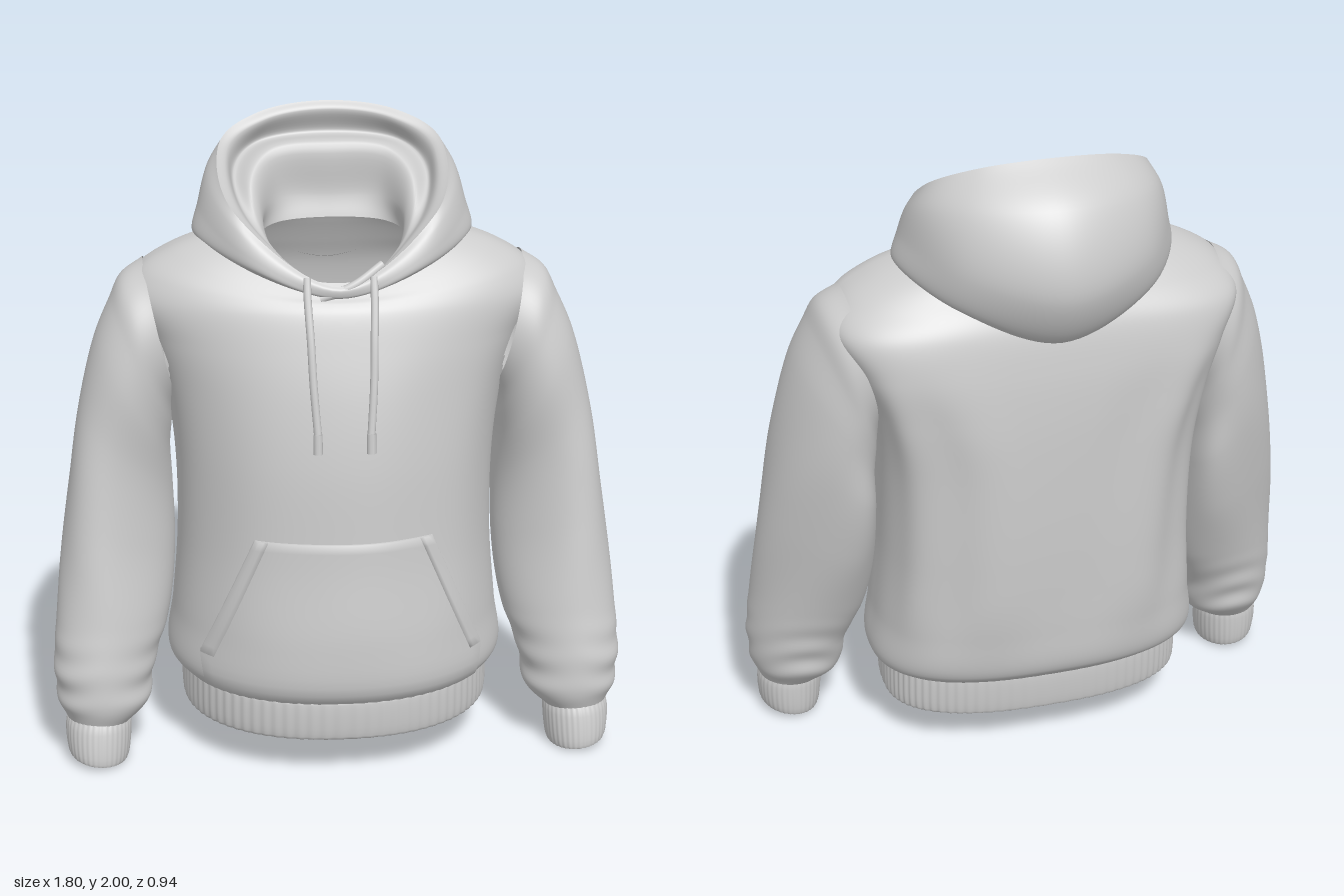
import * as THREE from 'three';

const mat = new THREE.MeshStandardMaterial({ color: 0xcccccc, side: THREE.DoubleSide, roughness: 0.9 });
const V = (x, y, z) => new THREE.Vector3(x, y, z);
const smooth = THREE.MathUtils.smoothstep;

function makeMesh(name, geometry) {
  const mesh = new THREE.Mesh(geometry, mat);
  mesh.name = name;
  return mesh;
}

// Indexed surface over rows of points; "closed" joins the last column to the first
function surface(rows, closed, flip) {
  const n = rows[0].length, index = [];
  for (let i = 0; i < rows.length - 1; i++) {
    for (let j = 0; j < (closed ? n : n - 1); j++) {
      const k = (j + 1) % n;
      const a = i * n + j, b = i * n + k, c = (i + 1) * n + j, d = (i + 1) * n + k;
      if (flip) index.push(a, c, b, b, c, d);
      else index.push(a, b, c, b, d, c);
    }
  }
  const geo = new THREE.BufferGeometry().setFromPoints(rows.flat());
  geo.setIndex(index);
  geo.computeVertexNormals();
  return geo;
}

// Smooth loft through key rings; swell(angle, y) scales each point about its ring centre
function loft(keys, steps, flip, swell) {
  const n = keys[0].length;
  const columns = keys[0].map((_, j) => new THREE.CatmullRomCurve3(keys.map(r => r[j])));
  const rows = [];
  for (let i = 0; i <= steps; i++) {
    const row = columns.map(c => c.getPoint(i / steps));
    if (swell) {
      const mid = row.reduce((s, p) => s.add(p), V(0, 0, 0)).divideScalar(n);
      row.forEach((p, j) => {
        const scale = 1 + swell(j / n * Math.PI * 2, p.y);
        p.sub(mid).multiplyScalar(scale).add(mid);
      });
    }
    rows.push(row);
  }
  return surface(rows, true, flip);
}

// Torso ring: rounded oval with its own depth and squareness front and back; the neck dips at the front
function torsoRing([y, hw, zf, zb, ef, eb], n) {
  const dip = 0.12 * smooth(y, 1.45, 1.66);
  return Array.from({ length: n }, (_, j) => {
    const a = j / n * Math.PI * 2, c = Math.cos(a), s = Math.sin(a);
    const k = 2 / (s > 0 ? ef : eb);
    return V(hw * Math.sign(c) * Math.abs(c) ** k,
      y - dip * Math.max(s, 0) ** 2,
      (s > 0 ? zf : -zb) * Math.sign(s) * Math.abs(s) ** k);
  });
}

// Cut the two oval armholes out of the torso
function cutArmholes(geo) {
  const pos = geo.attributes.position, old = geo.index.array, index = [];
  const inHole = i => Math.abs(pos.getX(i)) > 0.42 &&
    Math.hypot((pos.getZ(i) + 0.015) / 0.16, (pos.getY(i) - 1.31) / 0.17) < 1;
  for (let i = 0; i < old.length; i += 3) {
    const tri = [old[i], old[i + 1], old[i + 2]];
    if (!tri.every(inHole)) index.push(...tri);
  }
  geo.setIndex(index);
  return geo;
}

// Sleeve ring from its outer point, inner point, front z, back z and forward shift of the outer side
function sleeveRing([xo, yo, xi, yi, zf, zb, shift = 0], n, side) {
  return Array.from({ length: n }, (_, j) => {
    const a = j / n * Math.PI * 2, c = Math.cos(a), s = Math.sin(a);
    return V(side * ((xo + xi) / 2 + c * (xo - xi) / 2),
      (yo + yi) / 2 + c * (yo - yi) / 2,
      (zf + zb) / 2 + s * (zf - zb) / 2 + c * shift);
  });
}

// Hood ring from five points (front to back), mirrored to the other side
function hoodRing(half, n) {
  const pts = half.map(p => V(...p));
  for (let i = 3; i > 0; i--) pts.push(V(-half[i][0], half[i][1], half[i][2]));
  const curve = new THREE.CatmullRomCurve3(pts, true, 'catmullrom', 0.5);
  return Array.from({ length: n }, (_, j) => curve.getPoint(j / n));
}

function tube(name, pts, radius) {
  return makeMesh(name, new THREE.TubeGeometry(new THREE.CatmullRomCurve3(pts), 40, radius, 10));
}

export function createModel() {
  const model = new THREE.Group();
  model.name = 'hoodie';

  // Torso with soft vertical folds, broad across the back
  const torsoKeys = [
    [0.25, 0.485, 0.42, -0.27, 2.2, 2.5], [0.3, 0.53, 0.452, -0.32, 2.1, 2.6], [0.45, 0.515, 0.455, -0.342, 2.1, 2.8],
    [0.7, 0.495, 0.425, -0.352, 2.1, 3], [1.0, 0.5, 0.4, -0.35, 2.1, 3.4], [1.2, 0.53, 0.365, -0.342, 2.1, 4.2],
    [1.35, 0.58, 0.325, -0.328, 2.1, 4.6], [1.47, 0.64, 0.285, -0.305, 2, 3.6], [1.55, 0.6, 0.265, -0.27, 2, 2.6],
    [1.61, 0.51, 0.25, -0.24, 2, 2.3], [1.645, 0.42, 0.23, -0.22, 2, 2.1], [1.665, 0.33, 0.21, -0.2, 2, 2],
  ];
  const folds = (a, y) => {
    const mask = smooth(y, 0.3, 0.6) * (1 - smooth(y, 1.1, 1.45));
    const back = Math.sin(a) < 0 ? 1 : 0.25;
    return mask * back * 0.022 * Math.sin(a * 9 + y * 1.5) * Math.abs(Math.sin(a));
  };
  const torso = makeMesh('torso', cutArmholes(loft(torsoKeys.map(k => torsoRing(k, 160)), 100, true, folds)));
  model.add(torso);

  // Ribbed hem band, folded to a narrow inner edge
  const hemKeys = [
    [0.16, 0.47, 0.405, -0.255, 2.2, 2.5], [0.13, 0.478, 0.413, -0.263, 2.2, 2.5],
    [0.14, 0.485, 0.42, -0.268, 2.2, 2.5], [0.25, 0.488, 0.425, -0.275, 2.2, 2.5], [0.27, 0.488, 0.418, -0.27, 2.2, 2.5],
  ];
  model.add(makeMesh('hemBand', loft(hemKeys.map(k => torsoRing(k, 400)), 24, true, a => 0.004 * Math.sin(a * 80))));

  // Depth of the torso front at (x, y)
  const ray = new THREE.Raycaster();
  const frontZ = (x, y) => {
    ray.set(V(x, y, 2), V(0, 0, -1));
    return ray.intersectObject(torso)[0].point.z;
  };

  // Panel laid over the torso front between two x limits, edges turned in
  function panel(name, y0, y1, left, right, lift, nx, ny) {
    const rows = [];
    for (let i = -1; i <= ny + 1; i++) {
      const y = THREE.MathUtils.lerp(y0, y1, THREE.MathUtils.clamp(i / ny, 0, 1));
      const row = [];
      for (let j = -1; j <= nx + 1; j++) {
        const x = THREE.MathUtils.lerp(left(y), right(y), THREE.MathUtils.clamp(j / nx, 0, 1));
        const edge = i < 0 || j < 0 || i > ny || j > nx;
        row.push(V(x, y, frontZ(x, y) + (edge ? 0.001 : lift)));
      }
      rows.push(row);
    }
    model.add(makeMesh(name, surface(rows, false, false)));
  }
  const pocketHalf = y => (y < 0.38 ? 0.425 + (y - 0.27) * 0.15 : 0.442 - (y - 0.38) * 0.42);
  panel('pocket', 0.27, 0.785, y => -pocketHalf(y), pocketHalf, 0.012, 30, 18);
  panel('pocketLeftWelt', 0.385, 0.785, y => pocketHalf(y) - 0.04, pocketHalf, 0.016, 3, 14);
  panel('pocketRightWelt', 0.385, 0.785, y => -pocketHalf(y), y => 0.04 - pocketHalf(y), 0.016, 3, 14);

  // Sleeves, bunched above ribbed cuffs
  const sleeveKeys = [
    [0.585, 1.57, 0.49, 1.14, 0.175, -0.23], [0.655, 1.523, 0.5, 1.1, 0.185, -0.225, 0.01],
    [0.69, 1.455, 0.505, 1.04, 0.19, -0.217, 0.02], [0.74, 1.34, 0.51, 0.97, 0.195, -0.207, 0.03],
    [0.8, 1.1, 0.505, 0.85, 0.19, -0.185, 0.05], [0.848, 0.8, 0.505, 0.66, 0.215, -0.13, 0.05],
    [0.88, 0.5, 0.53, 0.45, 0.265, -0.052, 0.035], [0.895, 0.32, 0.58, 0.3, 0.298, 0, 0.02],
    [0.885, 0.2, 0.605, 0.18, 0.303, 0.03, 0.01], [0.86, 0.14, 0.66, 0.13, 0.285, 0.075],
  ];
  const cuffKeys = [
    [0.85, 0.17, 0.665, 0.15, 0.28, 0.08], [0.865, 0.12, 0.66, 0.11, 0.3, 0.075],
    [0.855, 0.025, 0.675, 0.003, 0.315, 0.085], [0.845, 0.023, 0.685, 0.001, 0.305, 0.095],
    [0.843, 0.06, 0.688, 0.04, 0.3, 0.097],
  ];
  const bunching = (a, y) => {
    const low = (1 - smooth(y, 0.25, 0.48)) * smooth(y, 0.13, 0.22);
    const mid = smooth(y, 0.4, 0.7) * (1 - smooth(y, 0.9, 1.2));
    return low * 0.035 * Math.sin(y * 60 + 3 * Math.sin(a) + 1.5 * Math.cos(2 * a)) * (0.6 + 0.4 * Math.sin(3 * a))
      + mid * 0.025 * Math.sin(a * 4 + y * 5);
  };
  for (const side of [1, -1]) {
    const name = side > 0 ? 'left' : 'right';
    model.add(makeMesh(name + 'Sleeve',
      loft(sleeveKeys.map(k => sleeveRing(k, 64, side)), 110, side < 0, bunching)));
    model.add(makeMesh(name + 'Cuff',
      loft(cuffKeys.map(k => sleeveRing(k, 180, side)), 24, side < 0, a => 0.008 * Math.sin(a * 36))));
  }

  // Hood shell from the neck seam up to the face opening
  const rim = [[0, 1.545, 0.25], [0.3, 1.735, 0.13], [0.345, 1.895, -0.1], [0.215, 1.975, -0.215], [0, 2.0, -0.255]];
  const shell = [
    [[0, 1.505, 0.235], [0.25, 1.57, 0.18], [0.4, 1.635, -0.02], [0.28, 1.58, -0.25], [0, 1.49, -0.29]],
    [[0, 1.51, 0.255], [0.275, 1.595, 0.195], [0.43, 1.65, -0.04], [0.295, 1.575, -0.3], [0, 1.463, -0.365]],
    [[0, 1.52, 0.26], [0.29, 1.64, 0.185], [0.412, 1.73, -0.06], [0.29, 1.7, -0.34], [0, 1.64, -0.467]],
    [[0, 1.535, 0.26], [0.298, 1.695, 0.16], [0.385, 1.825, -0.085], [0.27, 1.865, -0.3], [0, 1.875, -0.405]],
    rim,
  ];
  // Lining: turned edge, recess under it, soft fold and neck opening
  const lining = [
    rim,
    [[0, 1.535, 0.235], [0.27, 1.715, 0.115], [0.318, 1.875, -0.1], [0.195, 1.952, -0.2], [0, 1.975, -0.235]],
    [[0, 1.515, 0.22], [0.23, 1.67, 0.11], [0.3, 1.8, -0.09], [0.22, 1.88, -0.22], [0, 1.9, -0.26]],
    [[0, 1.505, 0.2], [0.19, 1.63, 0.115], [0.25, 1.78, -0.03], [0.18, 1.87, -0.14], [0, 1.885, -0.16]],
    [[0, 1.48, 0.19], [0.165, 1.57, 0.1], [0.215, 1.69, 0], [0.16, 1.73, -0.13], [0, 1.73, -0.15]],
    [[0, 1.46, 0.19], [0.165, 1.53, 0.1], [0.225, 1.62, -0.01], [0.17, 1.65, -0.11], [0, 1.66, -0.13]],
  ];
  model.add(makeMesh('hoodShell', loft(shell.map(r => hoodRing(r, 96)), 40, false)));
  model.add(makeMesh('hoodLining', loft(lining.map(r => hoodRing(r, 96)), 40, false)));

  // Crossed front edges of the hood
  model.add(tube('hoodOverlap', [V(0.13, 1.6, 0.21), V(0.04, 1.545, 0.243), V(-0.06, 1.505, 0.243)], 0.014));

  // Drawstrings hanging over the chest, with tips
  for (const side of [1, -1]) {
    const name = side > 0 ? 'left' : 'right';
    const at = (x, y) => V(side * x, y, frontZ(side * x, y) + 0.017);
    const end = at(0.08, 1.13), tip = V(side * 0.08, 1.07, end.z + 0.008);
    model.add(tube(name + 'Drawstring',
      [V(side * 0.1, 1.57, 0.24), V(side * 0.1, 1.51, 0.272), at(0.095, 1.4), at(0.09, 1.27), end], 0.012));
    model.add(tube(name + 'DrawstringTip', [end, tip], 0.014));
  }
  return model;
}
